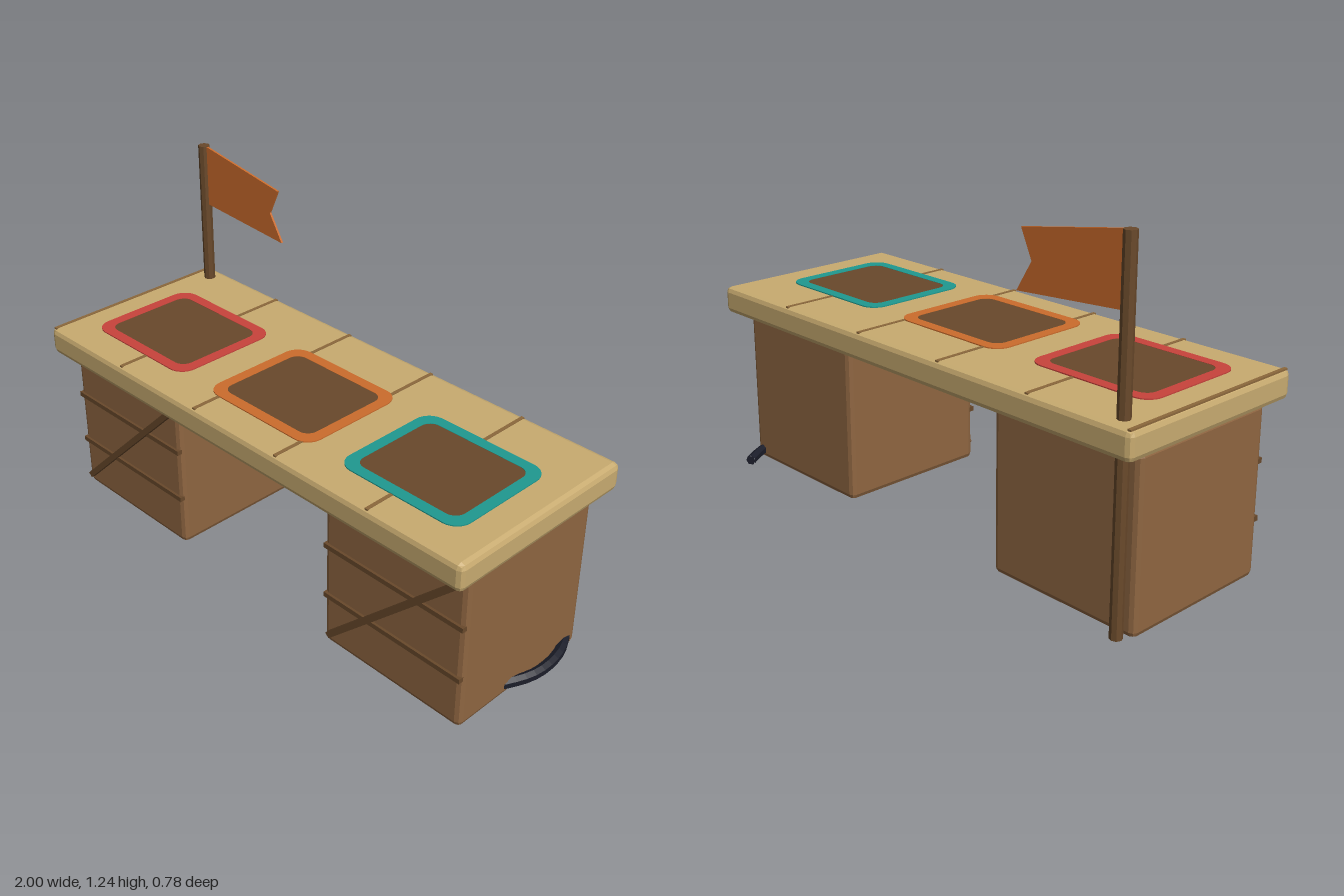
import * as THREE from 'three';
import { RoundedBoxGeometry } from 'three/addons/geometries/RoundedBoxGeometry.js';

const paint = (name, color) => {
  const m = new THREE.MeshStandardMaterial({ color });
  m.name = name;
  return m;
};

export function createModel() {
  const mats = {
    top: paint('pale wood', 0xc8ab70),
    crate: paint('crate wood', 0x8f6641),
    dark: paint('dark wood', 0x69492b),
    seam: paint('seam brown', 0x8c683c),
    red: paint('red', 0xc8433c),
    orange: paint('orange', 0xcc6c2c),
    teal: paint('teal', 0x1f9990),
    rope: paint('black rope', 0x1c1e2a),
  };
  const model = new THREE.Group();
  model.name = 'crateTable';

  const add = (name, geo, mat, x = 0, y = 0, z = 0, parent = model) => {
    const mesh = new THREE.Mesh(geo, mat);
    mesh.name = name;
    mesh.position.set(x, y, z);
    parent.add(mesh);
    return mesh;
  };

  // Box with a single flat chamfer along every edge
  const chamferBox = (w, h, d, r) => {
    const geo = new RoundedBoxGeometry(w, h, d, 1, r);
    geo.computeVertexNormals();
    return geo;
  };

  const roundedRect = (Type, w, h, r) => {
    const s = new Type();
    const x = w / 2, y = h / 2, q = Math.PI / 2;
    s.absarc(x - r, y - r, r, 0, q);
    s.absarc(-x + r, y - r, r, q, 2 * q);
    s.absarc(-x + r, -y + r, r, 2 * q, 3 * q);
    s.absarc(x - r, -y + r, r, 3 * q, 4 * q);
    s.closePath();
    return s;
  };

  // Thin plate lying flat, base at y = 0
  const plate = (shape, thickness) =>
    new THREE.ExtrudeGeometry(shape, { depth: thickness, bevelEnabled: false, curveSegments: 4 })
      .rotateX(-Math.PI / 2);

  // Table top with plank seams
  add('tableTop', chamferBox(1.98, 0.1, 0.76, 0.02), mats.top, -0.01, 0.646, 0.015);
  for (const x of [-0.985, -0.59, -0.195, 0.2, 0.6]) {
    add('plankSeam', new THREE.BoxGeometry(0.013, 0.006, 0.74), mats.seam, x, 0.695, 0.015);
  }

  // Three placemats: coloured border around a dark panel
  [['red', -0.642], ['orange', -0.012], ['teal', 0.613]].forEach(([color, x]) => {
    const mat = new THREE.Group();
    mat.name = color + 'Placemat';
    mat.position.set(x, 0.695, 0.06);
    const border = roundedRect(THREE.Shape, 0.495, 0.43, 0.06);
    border.holes.push(roundedRect(THREE.Path, 0.415, 0.35, 0.04));
    add('border', plate(border, 0.005), mats[color], 0, 0, 0, mat);
    add('panel', plate(roundedRect(THREE.Shape, 0.415, 0.35, 0.04), 0.004), mats.dark, 0, 0, 0, mat);
    model.add(mat);
  });

  // Crates with two slats and a diagonal brace on the front
  for (const x of [-0.672, 0.65]) {
    const crate = new THREE.Group();
    crate.name = 'crate';
    crate.position.x = x;
    add('crateBody', chamferBox(0.592, 0.598, 0.592, 0.02), mats.crate, 0, 0.3, 0.017, crate);
    for (const y of [0.2, 0.4]) {
      add('slat', new THREE.BoxGeometry(0.584, 0.018, 0.02), mats.dark, 0, y, 0.312, crate);
    }
    const brace = add('brace', new THREE.BoxGeometry(0.735, 0.022, 0.025), mats.dark, 0, 0.302, 0.321, crate);
    brace.rotation.z = Math.atan2(0.515, 0.53);
    model.add(crate);
  }

  // Flag pole and swallow-tailed flag
  const pole = new THREE.CylinderGeometry(0.0215, 0.0215, 1.24, 8).toNonIndexed();
  pole.computeVertexNormals();
  add('flagPole', pole, mats.dark, -0.92, 0.62, -0.301);
  const flag = new THREE.Shape([
    [-0.91, 1.01], [-0.495, 0.98], [-0.556, 1.08], [-0.512, 1.175], [-0.91, 1.24],
  ].map(([x, y]) => new THREE.Vector2(x, y)));
  add('flag', new THREE.ExtrudeGeometry(flag, { depth: 0.008, bevelEnabled: false }),
    mats.orange, 0, 0, -0.305);

  // Rope curling round the back corner of one crate
  const path = new THREE.CatmullRomCurve3([
    [0.90, 0.14], [0.945, 0.06], [0.972, -0.01], [0.979, -0.08], [0.965, -0.17],
    [0.927, -0.25], [0.89, -0.32], [0.852, -0.378],
  ].map(([x, z]) => new THREE.Vector3(x, 0.035, z)));
  const rope = new THREE.Group();
  rope.name = 'rope';
  const strand = new THREE.TubeGeometry(path, 16, 0.019, 6).toNonIndexed();
  strand.computeVertexNormals();
  add('ropeStrand', strand, mats.rope, 0, 0, 0, rope);
  const end = add('ropeEnd', new THREE.CircleGeometry(0.019, 6), mats.rope, 0, 0, 0, rope);
  end.position.copy(path.getPoint(1));
  end.lookAt(path.getPoint(1).add(path.getTangent(1)));
  model.add(rope);

  return model;
}
